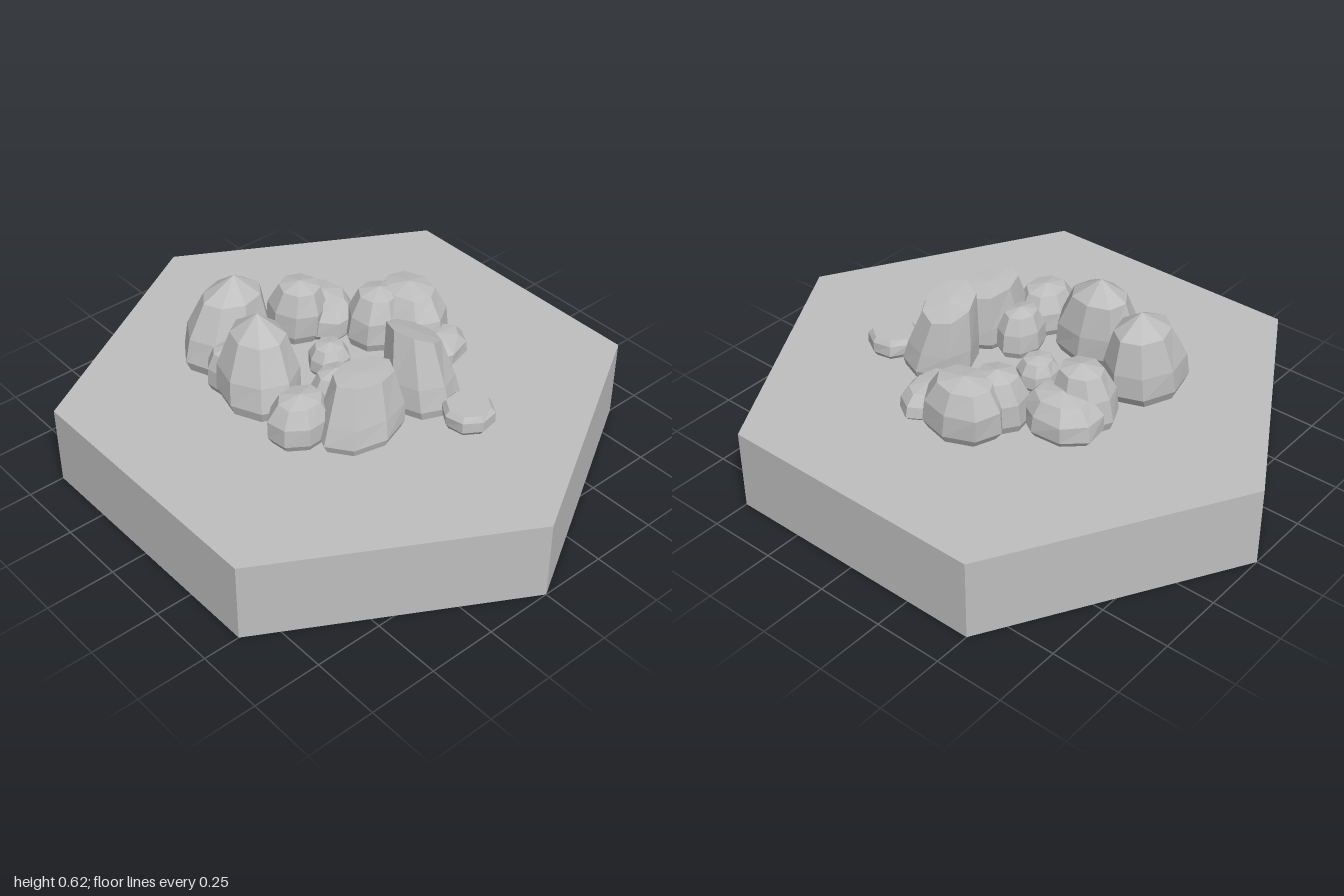
import * as THREE from 'three';

const BASE_H = 0.3;
const SIDES = 8;

// ring profiles: [radius scale, height fraction], bottom to top
const PROFILES = {
  peak: [[0.86, 0], [1, 0.13], [0.97, 0.4], [0.68, 0.78], [0, 1]],
  dome: [[0.86, 0], [1, 0.16], [0.98, 0.55], [0.68, 0.9], [0, 1]],
  block: [[0.9, 0], [1, 0.12], [0.95, 0.4], [0.7, 0.95], [0, 0.97]],
  slab: [[0.84, 0], [1, 0.25], [1, 0.75], [0.84, 1], [0, 1]],
};

// name, profile, centre x, z, half sizes x, z, height, turn, top shift x, z, top slope along x
const ROCKS = [
  ['backLeftRock', 'peak', -0.23, -0.37, 0.17, 0.135, 0.32, 0.1, 0.05, 0, 0],
  ['leftRock', 'peak', -0.295, -0.1, 0.135, 0.16, 0.32, -0.1, 0.035, -0.04, 0],
  ['leftGapRock', 'dome', -0.32, -0.23, 0.08, 0.08, 0.16, 0.3, 0, 0, 0],
  ['leftFrontRock', 'dome', -0.31, 0.14, 0.12, 0.1, 0.17, 0.3, 0, 0, 0],
  ['innerFrontRock', 'dome', -0.13, 0.11, 0.1, 0.08, 0.17, 0, 0, 0, 0],
  ['frontLeftRock', 'block', -0.15, 0.26, 0.17, 0.12, 0.235, -0.08, 0.03, -0.02, 0.06],
  ['frontRock', 'block', 0.13, 0.265, 0.13, 0.135, 0.28, 0, -0.01, -0.045, 0.25],
  ['frontPebble', 'slab', 0.16, 0.455, 0.092, 0.092, 0.075, 0.2, 0, 0, 0],
  ['rightFrontRock', 'dome', 0.325, 0.12, 0.135, 0.09, 0.1, 0, 0, 0, 0],
  ['rightInnerRock', 'dome', 0.24, -0.11, 0.11, 0.11, 0.21, 0.2, 0.02, 0, 0],
  ['rightRock', 'dome', 0.35, -0.04, 0.125, 0.155, 0.215, -0.1, 0.01, -0.02, 0],
  ['backRightRock', 'dome', 0.15, -0.3, 0.115, 0.15, 0.15, 0.3, 0, 0, 0],
  ['backRock', 'dome', 0.055, -0.33, 0.105, 0.115, 0.22, 0, 0.01, 0.02, 0],
  ['centrePebble', 'dome', 0, -0.075, 0.078, 0.075, 0.11, 0.2, 0, 0, 0],
];

// small seeded generator for slightly uneven facets
function seeded(seed) {
  return () => {
    seed = (seed * 16807) % 2147483647;
    return seed / 2147483647;
  };
}

function rockGeometry(profile, rx, rz, h, turn, shiftX, shiftZ, slope, seed) {
  const rand = seeded(seed * 977 + 13);
  const rings = profile.map(([s, t]) => {
    const ring = [];
    for (let i = 0; i < SIDES; i++) {
      const a = (i / SIDES) * Math.PI * 2 + turn;
      const wobble = s > 0 && t > 0.2 ? 0.95 + rand() * 0.08 : 1;
      const x = Math.cos(a) * rx * s * wobble;
      const z = Math.sin(a) * rz * s * wobble;
      const y = h * t * (1 - slope * t * (x / rx));
      ring.push([x + shiftX * t, y, z + shiftZ * t]);
    }
    return ring;
  });

  const verts = [];
  for (let r = 0; r < rings.length - 1; r++) {
    for (let i = 0; i < SIDES; i++) {
      const j = (i + 1) % SIDES;
      const [a, b, c, d] = [rings[r][i], rings[r][j], rings[r + 1][i], rings[r + 1][j]];
      verts.push(...a, ...c, ...b);
      // the last ring is a single point, so it needs one triangle only
      if (r < rings.length - 2) verts.push(...b, ...c, ...d);
    }
  }
  const geo = new THREE.BufferGeometry();
  geo.setAttribute('position', new THREE.Float32BufferAttribute(verts, 3));
  geo.computeVertexNormals();
  return geo;
}

export function createModel() {
  const model = new THREE.Group();
  model.name = 'rockyHexTile';

  const stone = new THREE.MeshStandardMaterial({ color: 0xbebebe, flatShading: true });
  stone.name = 'stoneGrey';

  // hexagonal base with corners at front and back
  const base = new THREE.Mesh(new THREE.CylinderGeometry(1, 1, BASE_H, 6), stone);
  base.name = 'hexBase';
  base.position.y = BASE_H / 2;
  model.add(base);

  // ring of boulders
  const rocks = new THREE.Group();
  rocks.name = 'rocks';
  ROCKS.forEach(([name, kind, x, z, rx, rz, h, turn, sx, sz, slope], i) => {
    const rock = new THREE.Mesh(
      rockGeometry(PROFILES[kind], rx, rz, h, turn, sx, sz, slope, i + 1), stone);
    rock.name = name;
    rock.position.set(x, BASE_H, z);
    rocks.add(rock);
  });
  model.add(rocks);

  return model;
}
